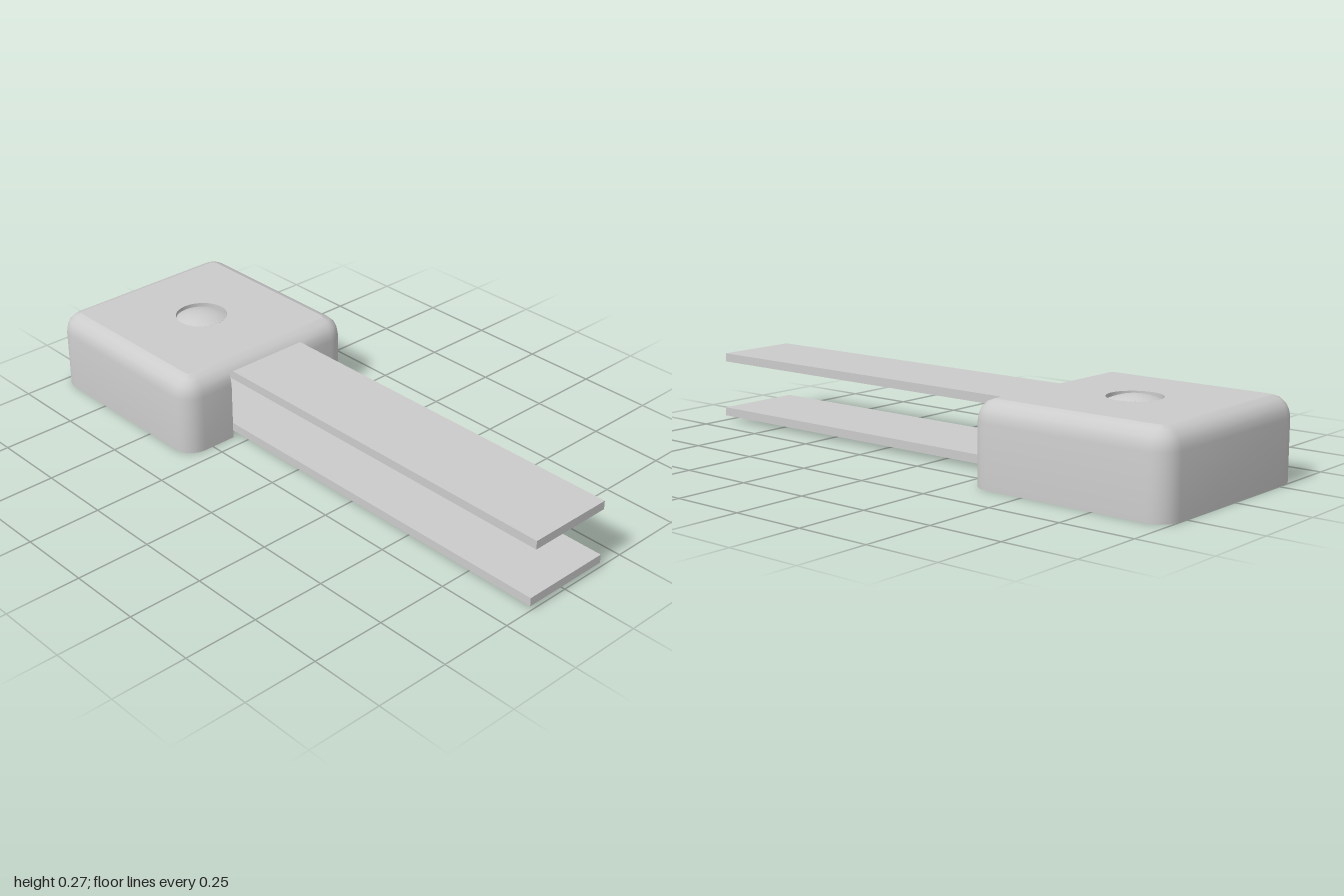
import * as THREE from 'three';
import { toCreasedNormals } from 'three/addons/utils/BufferGeometryUtils.js';

const HALF = 0.352, SLOT_L = -0.163, SLOT_R = 0.165, HOLE = 0.088;

// Rounded square outline, starting and ending at the two sides of the front slot
function outline(inset) {
  const r = Math.max(0.07 - inset, 0.015), h = HALF - inset, c = h - r;
  const pts = [[SLOT_R, h]];
  const corners = [[1, 1], [1, -1], [-1, -1], [-1, 1]];
  corners.forEach(([sx, sz], k) => {
    for (let i = 0; i <= 6; i++) {
      const a = Math.PI / 2 - (k + i / 6) * Math.PI / 2;
      pts.push([sx * c + r * Math.cos(a), sz * c + r * Math.sin(a)]);
    }
  });
  pts.push([SLOT_L, h]);
  return pts;
}

// Wall section as [inset, y]: down the inside, round the rim, up the outside
const SECTION = [[0.04, 0.247], [0.02, 0.24], [0.02, 0], [0, 0], [0, 0.2], [0.004, 0.222],
  [0.012, 0.24], [0.03, 0.258], [0.055, 0.267]];
const SILL = 1, LINTEL = 6; // section rows at the top of the slot

function wallGeometry() {
  const pos = [], idx = [];
  const rows = SECTION.map(([inset]) => outline(inset));
  const n = rows[0].length;
  rows.forEach((row, j) => row.forEach(([x, z]) => pos.push(x, SECTION[j][1], z)));
  const quad = (a, b, c, d) => idx.push(a, b, c, a, c, d);
  for (let j = 0; j < rows.length - 1; j++) {
    for (let i = 0; i < n; i++) {
      if (i === n - 1 && j >= SILL && j < LINTEL) continue; // front slot
      const k = (i + 1) % n;
      quad(j * n + i, j * n + k, (j + 1) * n + k, (j + 1) * n + i);
    }
  }
  // Slot top and its two side faces
  quad(SILL * n + n - 1, SILL * n, LINTEL * n, LINTEL * n + n - 1);
  for (let j = SILL + 1; j < LINTEL; j++) {
    idx.push(SILL * n, j * n, (j + 1) * n);
    idx.push(SILL * n + n - 1, (j + 1) * n + n - 1, j * n + n - 1);
  }
  const g = new THREE.BufferGeometry();
  g.setAttribute('position', new THREE.Float32BufferAttribute(pos, 3));
  g.setIndex(idx);
  return toCreasedNormals(g, 0.7);
}

// Flat plate with a round button hole
function plateGeometry(inset, y) {
  const shape = new THREE.Shape(outline(inset).map(([x, z]) => new THREE.Vector2(x, -z)));
  shape.holes.push(new THREE.Path().absarc(0, 0, HOLE, 0, Math.PI * 2, true));
  return new THREE.ShapeGeometry(shape, 24).rotateX(-Math.PI / 2).translate(0, y, 0);
}

export function createModel() {
  const model = new THREE.Group();
  model.name = 'buckle';
  const grey = new THREE.MeshStandardMaterial({ color: 0xcccccc });
  const greyDouble = new THREE.MeshStandardMaterial({ color: 0xcccccc, side: THREE.DoubleSide });
  const add = (parent, name, geometry, material = grey) => {
    const mesh = new THREE.Mesh(geometry, material);
    mesh.name = name;
    parent.add(mesh);
    return mesh;
  };

  // Hollow housing, open below and at the front slot
  const housing = new THREE.Group();
  housing.name = 'housing';
  housing.position.z = -0.647;
  model.add(housing);
  add(housing, 'housingWall', wallGeometry(), greyDouble);
  add(housing, 'housingTop', plateGeometry(0.055, 0.267), greyDouble);
  add(housing, 'housingCeiling', plateGeometry(0.04, 0.247), greyDouble);
  add(housing, 'buttonHole', new THREE.CylinderGeometry(HOLE, HOLE, 0.02, 32, 1, true)
    .translate(0, 0.257, 0), greyDouble);

  // Shallow domed button, its edge sunk in the hole
  const dome = [];
  for (let i = 0; i <= 8; i++) {
    const r = HOLE * (1 - i / 8);
    dome.push(new THREE.Vector2(r, 0.274 - 0.007 * (r / 0.052) ** 2));
  }
  add(housing, 'button', new THREE.LatheGeometry(dome, 32), greyDouble);

  // Two flat straps running forward out of the slot
  const strap = (name, x0, x1, y0, y1) => {
    const back = -0.91, front = 1;
    add(model, name, new THREE.BoxGeometry(x1 - x0, y1 - y0, front - back))
      .position.set((x0 + x1) / 2, (y0 + y1) / 2, (front + back) / 2);
  };
  strap('upperStrap', -0.145, 0.15, 0.21, 0.239);
  strap('lowerStrap', -0.153, 0.157, 0.017, 0.046);
  return model;
}
